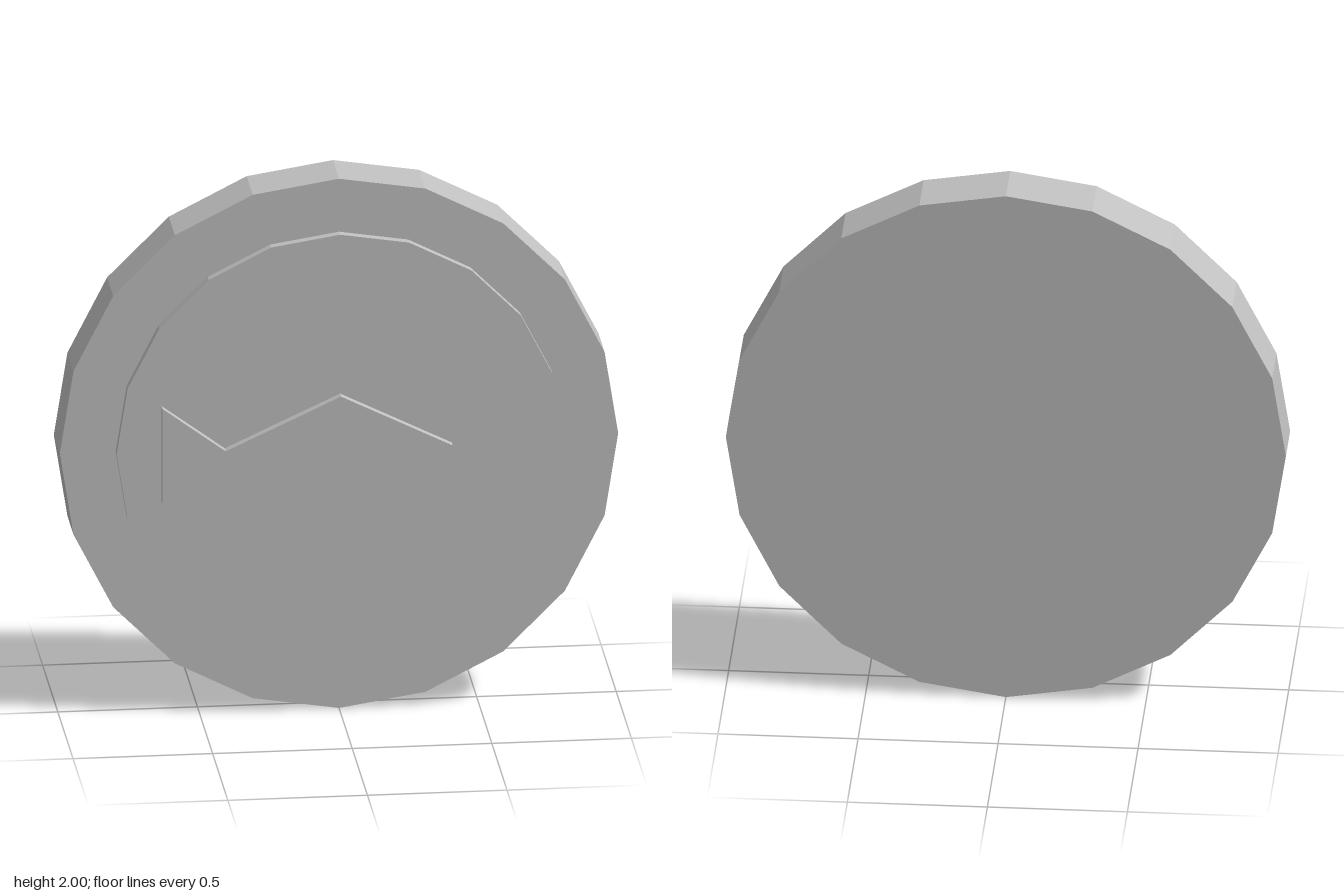
import * as THREE from 'three';

export function createModel() {
  const model = new THREE.Group();
  model.name = 'fishMedallion';
  const silver = new THREE.MeshStandardMaterial({ color: 0xc0c0c0 });
  silver.name = 'silver';
  silver.flatShading = true;

  const add = (name, geometry, y, z) => {
    const mesh = new THREE.Mesh(geometry, silver);
    mesh.name = name;
    mesh.position.set(0, y, z);
    model.add(mesh);
  };

  // Twenty-sided disc lying between two depths, facing +z
  const disc = (name, radius, back, front) => {
    const geometry = new THREE.CylinderGeometry(radius, radius, front - back, 20);
    geometry.rotateX(Math.PI / 2);
    add(name, geometry, 1, (back + front) / 2);
  };
  disc('coinBase', 1, -0.133, 0.067);
  disc('raisedCentre', 0.8, 0.067, 0.1);

  // Fish relief: diamond body with a triangular tail
  const fish = new THREE.Shape([
    [0.4, 0], [0, 0.2], [-0.413, 0.009], [-0.64, 0.178],
    [-0.64, -0.178], [-0.413, -0.009], [0, -0.2],
  ].map(([x, y]) => new THREE.Vector2(x, y)));
  add('fishRelief', new THREE.ExtrudeGeometry(fish, { depth: 0.033, bevelEnabled: false }), 1, 0.1);

  return model;
}
